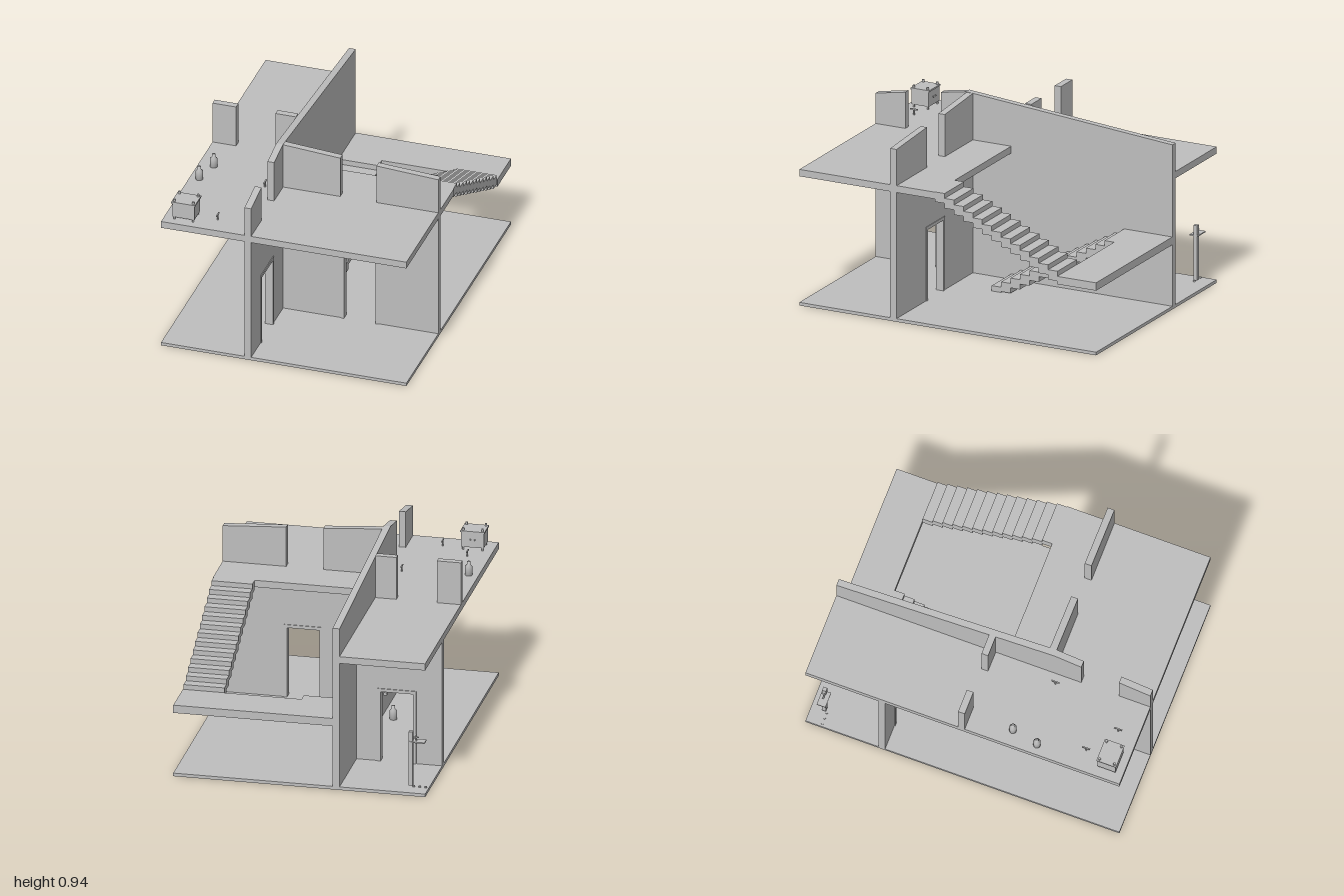
import * as THREE from 'three';

const plaster = new THREE.MeshStandardMaterial({ color: 0xbebebe });
plaster.name = 'plaster grey';

// half width and half depth of the plan, floor, slab and landing heights
const W = 0.625, D = 0.8125, FLOOR = 0.016, CEIL = 0.66, UP = 0.695, LAND = 0.37;
const WALL0 = -0.2, WALL1 = -0.166; // the long dividing wall

export function createModel() {
  const house = new THREE.Group();
  house.name = 'house';

  const add = (name, geo, x = 0, y = 0, z = 0) => {
    const m = new THREE.Mesh(geo, plaster);
    m.name = name;
    m.position.set(x, y, z);
    house.add(m);
    return m;
  };
  const box = (name, x0, x1, y0, y1, z0, z1) =>
    add(name, new THREE.BoxGeometry(x1 - x0, y1 - y0, z1 - z0), (x0 + x1) / 2, (y0 + y1) / 2, (z0 + z1) / 2);
  const rod = (name, r, h, x, y, z, r2 = r) =>
    add(name, new THREE.CylinderGeometry(r2, r, h, 12), x, y + h / 2, z);

  // wall from an outline in its own plane, running along x or along z
  const wall = (name, along, pts, c0, c1) => {
    const shape = new THREE.Shape(pts.map(([a, y]) => new THREE.Vector2(a, y)));
    const geo = new THREE.ExtrudeGeometry(shape, { depth: c1 - c0, bevelEnabled: false });
    if (along === 'x') return add(name, geo, 0, 0, c0);
    geo.rotateY(-Math.PI / 2);
    return add(name, geo, c1, 0, 0);
  };
  // ground floor wall with a doorway and its slim frame
  const doorWall = (name, along, a0, a1, d0, d1, c0, c1) => {
    const top = 0.385, f = 0.008, p = 0.004;
    wall(name, along, [[a0, FLOOR], [d0, FLOOR], [d0, top], [d1, top], [d1, FLOOR],
      [a1, FLOOR], [a1, CEIL], [a0, CEIL]], c0, c1);
    wall(name + 'Frame', along, [[d0 - f, FLOOR], [d0 + f, FLOOR], [d0 + f, top - f], [d1 - f, top - f],
      [d1 - f, FLOOR], [d1 + f, FLOOR], [d1 + f, top + f], [d0 - f, top + f]], c0 - p, c1 + p);
  };

  // floors and half landing
  box('groundFloor', -W, W, 0, FLOOR, -D, D);
  const slab = new THREE.Shape([[-W, -D], [WALL1, -D], [WALL1, 0.07], [W, 0.07], [W, D], [-W, D]]
    .map(([x, z]) => new THREE.Vector2(x, -z)));
  add('upperFloor', new THREE.ExtrudeGeometry(slab, { depth: UP - CEIL, bevelEnabled: false })
    .rotateX(-Math.PI / 2), 0, CEIL, 0);
  box('stairLanding', WALL1, W, LAND - 0.04, LAND, -D, -0.6);

  // ground floor walls
  doorWall('dividingWall', 'z', -D, D, 0.475, 0.66, WALL0, WALL1);
  doorWall('rightRoomWall', 'x', WALL1, W, 0.137, 0.313, 0.28, 0.315);
  doorWall('leftRoomWall', 'x', -W, WALL0, -0.488, -0.312, -0.435, -0.4);

  // upper walls, cut off at a slope
  const upper = (name, along, a0, h0, a1, h1, c0, c1) =>
    wall(name, along, [[a0, UP], [a1, UP], [a1, h1], [a0, h0]], c0, c1);
  wall('upperDividingWall', 'z', [[-D, UP], [0.455, UP], [0.455, 0.91], [0.315, 0.935], [-D, 0.84]], WALL0, WALL1);
  upper('upperFrontWall', 'z', 0.65, 0.88, D, 0.85, WALL0, WALL1);
  upper('upperRoomWall', 'x', WALL1, 0.932, 0.125, 0.91, 0.28, 0.315);
  upper('upperSideWall', 'x', 0.31, 0.9, W, 0.88, 0.28, 0.315);
  upper('upperLeftWall', 'x', -W, 0.913, -0.505, 0.913, -0.022, 0.012);
  upper('upperInnerWall', 'x', -0.305, 0.913, WALL0, 0.913, -0.022, 0.012);

  // two flights of stairs, one block per step
  const N = 13, run = 0.67 / N;
  for (let i = 0; i < N; i++) {
    const yLow = FLOOR + (LAND - FLOOR) * (i + 1) / N;
    const yHigh = LAND + (UP - LAND) * (i + 1) / N;
    const zLow = 0.07 - i * run, zHigh = -0.6 + i * run;
    box('lowerStep', WALL1, 0.036, Math.max(FLOOR, yLow - 0.05), yLow, zLow - run, zLow);
    box('upperStep', 0.419, W - 0.003, yHigh - 0.05, yHigh, zHigh, zHigh + run);
  }

  // cabinet with corner knobs and door knobs
  box('cabinet', -0.58, -0.468, 0.71, 0.79, 0.682, 0.775);
  box('cabinetTop', -0.584, -0.464, 0.786, 0.794, 0.678, 0.779);
  for (const x of [-0.572, -0.476]) for (const z of [0.69, 0.767]) {
    rod('cabinetFoot', 0.005, 0.016, x, UP, z);
    rod('cabinetKnob', 0.006, 0.014, x, 0.793, z);
  }
  for (const x of [-0.535, -0.513])
    add('doorKnob', new THREE.SphereGeometry(0.004, 8, 6), x, 0.75, 0.68);

  // bottle shaped vessels
  const profile = [[0, 0], [0.018, 0], [0.018, 0.045], [0.009, 0.055], [0.009, 0.07], [0, 0.07]]
    .map(([r, y]) => new THREE.Vector2(r, y));
  for (const [x, y, z] of [[-0.547, UP, 0.232], [-0.576, UP, 0.367], [-0.26, FLOOR, 0.11]])
    add('vessel', new THREE.LatheGeometry(profile, 16), x, y, z);

  // small taps standing on the upper floor
  for (const [x, z] of [[-0.25, 0.34], [-0.37, 0.71], [-0.517, 0.6]]) {
    rod('tapStem', 0.004, 0.03, x, UP, z);
    box('tapSpout', x - 0.003, x + 0.003, 0.72, 0.726, z - 0.02, z + 0.02);
  }

  // wash stand at the back left
  box('standPanel', -0.55, -0.53, 0.03, 0.31, -0.755, -0.735);
  box('standShelf', -0.61, -0.53, 0.255, 0.261, -0.76, -0.715);
  rod('standTap', 0.003, 0.03, -0.565, 0.261, -0.74);
  box('standTapHandle', -0.578, -0.552, 0.277, 0.281, -0.743, -0.737);
  for (const x of [-0.61, -0.58, -0.55]) rod('standFoot', 0.006, 0.006, x, FLOOR, -0.73);

  // fittings on the walls
  box('wallTap', WALL0 - 0.025, WALL0, 0.345, 0.355, 0.14, 0.152);
  box('wallShelf', WALL0 - 0.035, WALL0, 0.255, 0.261, 0.13, 0.165);
  rod('wallShelfTap', 0.004, 0.03, WALL0 - 0.015, 0.261, 0.147);
  box('wallSwitch', -0.342, -0.326, 0.344, 0.358, -0.4, -0.388);

  house.rotation.y = 0.431;
  const model = new THREE.Group();
  model.name = 'model';
  model.add(house);
  return model;
}
